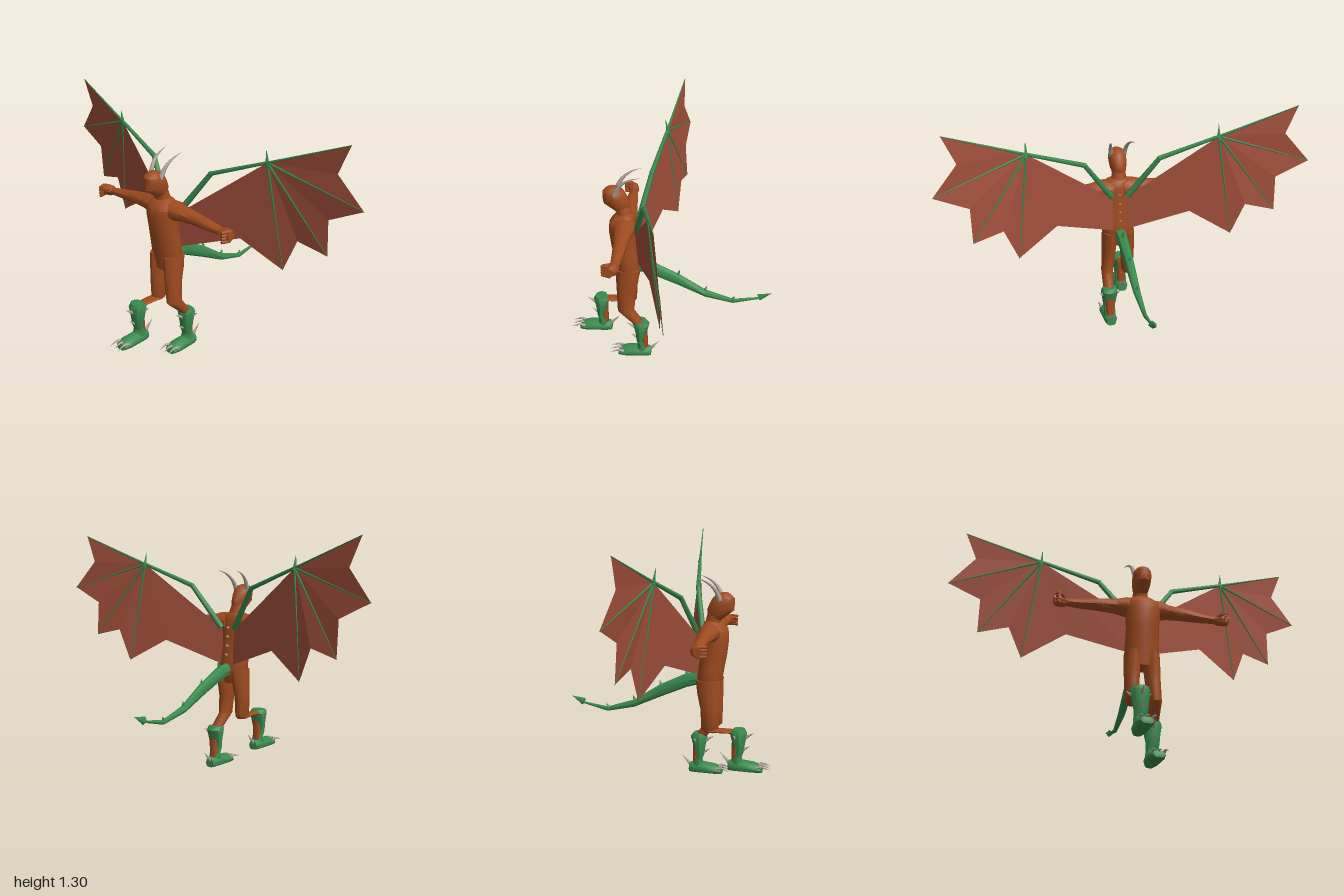
import * as THREE from 'three';
import { toCreasedNormals } from 'three/addons/utils/BufferGeometryUtils.js';

const mat = (name, color, side = THREE.FrontSide) => {
  const m = new THREE.MeshStandardMaterial({ color, side });
  m.name = name;
  return m;
};
const V = (p) => new THREE.Vector3(...p);

// Skins elliptical rings [x, y, z, a, b] stacked along an axis; floor flattens the underside
const AXES = { x: [1, 2, 0], y: [2, 0, 1], z: [0, 1, 2] };
function loft(axis, rings, sides = 12, floor = -Infinity) {
  const [u, v, w] = AXES[axis];
  if (rings[0][w] > rings[rings.length - 1][w]) rings = [...rings].reverse();
  const pos = [], idx = [], n = rings.length;
  for (const r of rings) {
    for (let j = 0; j < sides; j++) {
      const t = (j / sides) * Math.PI * 2, p = r.slice(0, 3);
      p[u] += r[3] * Math.cos(t);
      p[v] += r[4] * Math.sin(t);
      p[1] = Math.max(p[1], floor);
      pos.push(...p);
    }
  }
  pos.push(...rings[0].slice(0, 3), ...rings[n - 1].slice(0, 3));
  for (let j = 0; j < sides; j++) {
    const k = (j + 1) % sides, top = (n - 1) * sides;
    for (let i = 0; i < n - 1; i++) {
      const a = i * sides + j, b = i * sides + k;
      idx.push(a, b, b + sides, a, b + sides, a + sides);
    }
    idx.push(n * sides, k, j, n * sides + 1, top + j, top + k);
  }
  const g = new THREE.BufferGeometry();
  g.setAttribute('position', new THREE.Float32BufferAttribute(pos, 3));
  g.setIndex(idx);
  return toCreasedNormals(g, 0.7);
}

// Straight rod or spike from a to b
function rod(a, b, r0, r1 = 0, sides = 6) {
  const A = V(a), B = V(b), d = B.clone().sub(A);
  const g = new THREE.CylinderGeometry(r1, r0, d.length(), sides);
  g.applyQuaternion(new THREE.Quaternion().setFromUnitVectors(V([0, 1, 0]), d.clone().normalize()));
  const c = A.add(B).multiplyScalar(0.5);
  return g.translate(c.x, c.y, c.z);
}

// Curved horn or claw narrowing to a point
function horn(points, r, steps = 8, sides = 7) {
  const curve = new THREE.CatmullRomCurve3(points.map(V));
  const g = new THREE.TubeGeometry(curve, steps, r, sides);
  const p = g.attributes.position, q = new THREE.Vector3();
  for (let i = 0; i < p.count; i++) {
    const t = Math.floor(i / (sides + 1)) / steps, c = curve.getPointAt(t);
    q.fromBufferAttribute(p, i).sub(c).multiplyScalar(1.001 - t).add(c);
    p.setXYZ(i, q.x, q.y, q.z);
  }
  g.computeVertexNormals();
  return g;
}

export function createModel() {
  const skin = mat('brown skin', 0x9f4b1f);
  const green = mat('green scales', 0x388a4e);
  const membraneRed = mat('wing membrane red', 0xa04e3a, THREE.DoubleSide);
  const bone = mat('pale horn', 0xaaa294);
  const model = new THREE.Group();
  model.name = 'wingedCreature';
  const add = (parent, name, geometry, material) => {
    const m = new THREE.Mesh(geometry, material);
    m.name = name;
    parent.add(m);
  };
  const group = (name) => {
    const g = new THREE.Group();
    g.name = name;
    model.add(g);
    return g;
  };

  // Torso, neck and head
  add(model, 'torso', loft('y', [
    [0, 0.48, 0.228, 0.05, 0.07], [0, 0.55, 0.222, 0.068, 0.09], [0, 0.62, 0.231, 0.071, 0.088],
    [0, 0.7, 0.243, 0.073, 0.086], [0, 0.78, 0.252, 0.073, 0.092], [0, 0.83, 0.25, 0.07, 0.095],
    [-0.005, 0.865, 0.24, 0.05, 0.07], [-0.01, 0.88, 0.237, 0.03, 0.035],
  ].map(([x, y, z, a, b]) => [x, y, z, a, b]), 14), skin);
  add(model, 'neck', loft('y', [[-0.008, 0.85, 0.235, 0.042, 0.045], [-0.014, 0.92, 0.252, 0.04, 0.037]]), skin);
  add(model, 'head', loft('y', [
    [-0.014, 0.88, 0.25, 0.03, 0.028], [-0.014, 0.9, 0.257, 0.047, 0.038], [-0.014, 0.936, 0.28, 0.072, 0.047],
    [-0.014, 0.97, 0.288, 0.066, 0.051], [-0.014, 1.0, 0.296, 0.057, 0.047],
    [-0.014, 1.018, 0.297, 0.038, 0.033], [-0.014, 1.027, 0.3, 0.02, 0.016],
  ]), skin);

  for (const s of [1, -1]) {
    const side = s > 0 ? 'left' : 'right';
    const hx = (x) => -0.014 + s * x;
    add(model, side + 'Horn', horn([
      [hx(0.036), 0.99, 0.285], [hx(0.045), 1.05, 0.255], [hx(0.055), 1.09, 0.205], [hx(0.062), 1.108, 0.15],
    ], 0.015), bone);

    // Arm with a closed hand
    const arm = group(side + 'Arm');
    add(arm, 'arm', loft('x', [
      [0.03, 0.815, 0.235, 0.055, 0.06], [0.09, 0.82, 0.233, 0.05, 0.058], [0.14, 0.818, 0.232, 0.038, 0.045],
      [0.22, 0.815, 0.232, 0.032, 0.037], [0.32, 0.807, 0.234, 0.025, 0.03], [0.41, 0.803, 0.237, 0.018, 0.022],
    ].map(([x, ...r]) => [s * x, ...r]), 10), skin);
    add(arm, 'hand', loft('x', [
      [0.395, 0.803, 0.237, 0.018, 0.022], [0.42, 0.803, 0.24, 0.03, 0.03],
      [0.45, 0.803, 0.245, 0.032, 0.03], [0.47, 0.803, 0.253, 0.024, 0.022],
    ].map(([x, ...r]) => [s * x, ...r]), 8), skin);
    for (let i = 0; i < 4; i++) {
      const y = 0.826 - i * 0.016;
      add(arm, 'finger', rod([s * 0.46, y, 0.25], [s * 0.446, y, 0.295], 0.01, 0.008), skin);
    }
    add(arm, 'thumb', rod([s * 0.415, 0.815, 0.255], [s * 0.435, 0.822, 0.288], 0.011, 0.008), skin);

    // Wing: scalloped membrane fanned from the wrist joint, with bones
    const wing = group(side + 'Wing');
    const wrist = [0.515, 1.135, 0.055];
    const tips = [[0.927, 1.294, -0.015], [0.998, 0.99, -0.047], [0.822, 0.714, -0.042], [0.59, 0.577, -0.003]];
    const notches = [[0.864, 1.145, -0.017], [0.822, 0.905, -0.03], [0.662, 0.752, -0.016], [0.37, 0.705, 0.07]];
    const outline = tips.flatMap((t, i) => [t, notches[i]]);
    outline.push([0.03, 0.585, 0.17], [0.04, 0.78, 0.18]);
    const fan = [];
    for (let i = 0; i < outline.length - 1; i++) {
      const pair = s > 0 ? [outline[i + 1], outline[i]] : [outline[i], outline[i + 1]];
      for (const p of [wrist, ...pair]) fan.push(s * p[0], p[1], p[2]);
    }
    const web = new THREE.BufferGeometry();
    web.setAttribute('position', new THREE.Float32BufferAttribute(fan, 3));
    web.computeVertexNormals();
    add(wing, 'membrane', web, membraneRed);
    const m = ([x, y, z]) => [s * x, y, z];
    const elbow = [0.206, 1.02, 0.112];
    add(wing, 'upperBone', rod(m([0.045, 0.79, 0.175]), m(elbow), 0.017, 0.013), green);
    add(wing, 'foreBone', rod(m(elbow), m(wrist), 0.013, 0.009), green);
    add(wing, 'elbowJoint', new THREE.SphereGeometry(0.014, 8, 6).translate(...m(elbow)), green);
    add(wing, 'wristSpike', rod(m([0.515, 1.12, 0.052]), m([0.515, 1.205, 0.066]), 0.011), green);
    for (const t of tips) add(wing, 'fingerBone', rod(m(wrist), m(t), 0.007, 0.002), green);

    // Thigh
    const fx = s > 0 ? 0.07 : -0.055;
    const thigh = [
      [s * 0.05, 0.56, 0.224, 0.066, 0.042], [s * 0.052, 0.49, 0.227, 0.062, 0.042],
      [s * 0.055, 0.4, 0.236, 0.051, 0.039], [s > 0 ? 0.064 : -0.055, 0.295, 0.237, 0.047, 0.034],
    ];
    const leg = group(side + 'Leg');
    if (s > 0) {
      thigh.push([fx, 0.23, 0.178, 0.034, 0.032], [fx, 0.19, 0.15, 0.024, 0.026]);
    } else {
      thigh.push([fx, 0.278, 0.24, 0.036, 0.026]);
      add(leg, 'raisedKnee', loft('z', [[fx, 0.288, 0.23, 0.034, 0.012], [fx, 0.29, 0.4, 0.032, 0.009]], 8), skin);
    }
    add(leg, 'thigh', loft('y', thigh), skin);

    // Boot, built from its heel at floor level and set in place
    const boot = group(side + 'Boot');
    boot.position.set(fx, s > 0 ? 0 : 0.075, s > 0 ? 0.1 : 0.34);
    add(boot, 'shin', loft('y', [[0, 0.04, 0.035, 0.018, 0.024], [0, 0.2, 0.04, 0.022, 0.028]], 8), skin);
    add(boot, 'greave', loft('y', [
      [0, 0.04, 0.05, 0.036, 0.036], [0, 0.075, 0.05, 0.022, 0.034], [0, 0.105, 0.062, 0.021, 0.036],
      [0, 0.145, 0.056, 0.032, 0.041], [0, 0.21, 0.053, 0.047, 0.05], [0, 0.23, 0.056, 0.034, 0.042],
    ], 9), green);
    add(boot, 'foot', loft('z', [
      [0, 0.022, 0, 0.026, 0.03], [0, 0.025, 0.025, 0.037, 0.034], [0, 0.025, 0.08, 0.041, 0.034],
      [0, 0.022, 0.14, 0.043, 0.03], [0, 0.016, 0.178, 0.034, 0.02], [0, 0.008, 0.185, 0.025, 0.01],
    ], 12, 0), green);
    for (const x of [-0.028, 0, 0.028]) {
      add(boot, 'toeClaw', horn([[x, 0.03, 0.155], [x * 1.1, 0.038, 0.185], [x * 1.15, 0.022, 0.232]], 0.01), bone);
    }
    add(boot, 'heelSpur', rod([0, 0.04, 0.005], [0, 0.097, -0.05], 0.011), bone);
    add(boot, 'cuffSpike', rod([0, 0.185, 0.088], [0, 0.215, 0.138], 0.011), bone);
    add(boot, 'shinSpike', rod([0, 0.112, 0.076], [0, 0.142, 0.117], 0.009), bone);
    for (const k of [-1, 1]) {
      add(boot, 'sideSpike', rod([k * 0.035, 0.19, 0.04], [k * 0.066, 0.212, 0.032], 0.009), bone);
    }
  }

  // Tail with ridge spikes and an arrow tip
  const tail = group('tail');
  add(tail, 'tailBody', loft('z', [
    [0, 0.379, -0.51, 0.005, 0.005], [0, 0.349, -0.355, 0.011, 0.013], [0, 0.392, -0.2, 0.02, 0.021],
    [0, 0.475, -0.05, 0.026, 0.035], [0, 0.544, 0.1, 0.032, 0.039], [0, 0.566, 0.19, 0.034, 0.036],
  ], 8), green);
  add(tail, 'arrowTip', rod([0, 0.381, -0.495], [0, 0.411, -0.566], 0.022, 0, 4), green);
  for (const [y, z, h] of [[0.572, 0.1, 0.052], [0.5, -0.045, 0.037], [0.405, -0.195, 0.034], [0.355, -0.35, 0.028]]) {
    add(tail, 'tailSpike', rod([0, y, z], [0, y + h, z - 0.012], 0.012), green);
  }

  // Small spikes down the spine
  for (const [y, z] of [[0.64, 0.168], [0.69, 0.174], [0.74, 0.18], [0.79, 0.184]]) {
    add(model, 'spineSpike', rod([0, y, z], [0, y + 0.008, z - 0.025], 0.009), bone);
  }
  return model;
}
